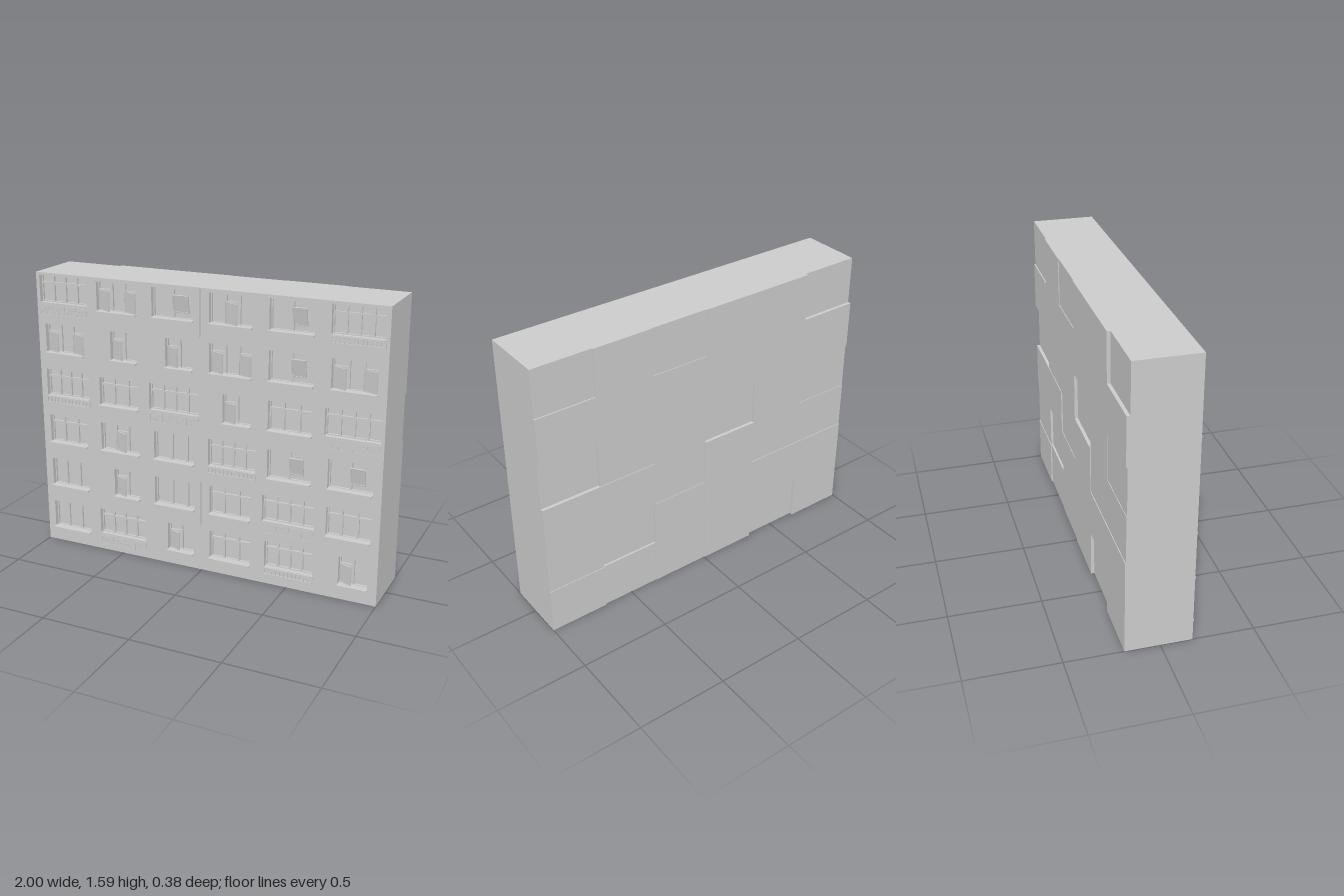
import * as THREE from 'three';

const mat = new THREE.MeshStandardMaterial({ color: 0xcccccc, flatShading: true });
const CW = 2 / 6, CH = 1.59 / 6, FRONT = 0.17, GLASS = 0.133;

// Cell layout, top storey first
const LAYOUT = ['HAVCSB', 'ANNASA', 'BTHNTH', 'TCLBSS', 'PNLTHT', 'PHNTBN'];

// Opening in the cell [x0, y0, x1, y1] and depth of the back face
const WIDE = [0.045, 0.083, 0.287, 0.245];
const NARROW = [0.122, 0.083, 0.283, 0.245];
const opening = { N: NARROW, B: [0.037, 0.098, 0.312, 0.25], H: [0.02, 0.1, 0.315, 0.25] };
const backZ = { H: -0.169, B: -0.18, C: -0.183, T: -0.183 };

// Panes as fractions of the opening: [x0, y0, x1, y1, motion]
const thirds = [[0, 0, 0.32, 1], [0.32, 0, 0.68, 1], [0.68, 0, 1, 1]];
const balcony = [0, 1, 2, 3].flatMap(i => [
  [i / 4, 0, (i + 1) / 4, 0.7], [i / 4, 0.7, (i + 1) / 4, 1]]);
const panes = {
  A: [[0, 0, 0.34, 0.7, 'swing'], [0, 0.7, 0.34, 1], [0.34, 0, 0.66, 1], [0.66, 0, 1, 0.7, 'swing'], [0.66, 0.7, 1, 1]],
  V: [[0, 0, 0.48, 1], [0.48, 0.2, 0.86, 0.8, 'tilt'], [0.48, 0, 1, 1]],
  C: [[0, 0, 0.34, 1], [0.34, 0, 0.66, 0.7, 'swing'], [0.34, 0.7, 0.66, 1], [0.66, 0, 1, 1]],
  S: [[0, 0, 0.48, 1], [0.48, 0.2, 0.8, 0.8, 'tilt'], [0.48, 0, 1, 1]],
  L: [[0, 0, 0.4, 1], [0.4, 0, 0.78, 1], [0.78, 0, 1, 1]],
  P: thirds,
  T: thirds.flatMap(p => [[p[0], 0, p[2], 0.72], [p[0], 0.72, p[2], 1]]),
  N: [[0, 0, 0.46, 0.68, 'swing'], [0, 0.68, 0.46, 1], [0.46, 0, 1, 1]],
  B: balcony,
  H: balcony
};

function add(group, name, geo, x = 0, y = 0, z = 0) {
  const m = new THREE.Mesh(geo, mat);
  m.name = name;
  m.position.set(x, y, z);
  group.add(m);
  return m;
}

function block(group, name, x0, y0, z0, x1, y1, z1) {
  return add(group, name, new THREE.BoxGeometry(x1 - x0, y1 - y0, z1 - z0),
    (x0 + x1) / 2, (y0 + y1) / 2, (z0 + z1) / 2);
}

function rect(Type, x0, y0, x1, y1) {
  const p = new Type();
  p.moveTo(x0, y0);
  p.lineTo(x1, y0);
  p.lineTo(x1, y1);
  p.lineTo(x0, y1);
  p.closePath();
  return p;
}

// Rectangle with rectangular holes, pushed out along z
function cutPlate(w, h, holes, depth) {
  const s = rect(THREE.Shape, 0, 0, w, h);
  holes.forEach(r => s.holes.push(rect(THREE.Path, ...r)));
  return new THREE.ExtrudeGeometry(s, { depth, bevelEnabled: false });
}

function buildPane(group, o, [fx0, fy0, fx1, fy1, motion]) {
  const w = o[2] - o[0], h = o[3] - o[1];
  const pw = (fx1 - fx0) * w, ph = (fy1 - fy0) * h, b = 0.006;
  const x = o[0] + fx0 * w, y = o[1] + fy0 * h;
  const hole = [b, b, pw - b, ph - b];
  if (!motion) {
    add(group, 'paneFrame', cutPlate(pw, ph, [hole], 0.012), x, y, GLASS);
    return;
  }
  // Opened sash with its glass, hinged at the side or the bottom
  const sash = new THREE.Group();
  sash.name = 'openSash';
  sash.position.set(x, y, GLASS + 0.002);
  if (motion === 'swing') sash.rotation.y = -0.35;
  else sash.rotation.x = 0.18;
  add(sash, 'sashFrame', cutPlate(pw, ph, [hole], 0.008));
  block(sash, 'sashGlass', b, b, 0.002, pw - b, ph - b, 0.005);
  group.add(sash);
}

// Glazed balcony parapet: framed panels with diagonal slats, nearly flush
function buildParapet(group, o) {
  const step = (o[2] - o[0]) / 4, y0 = 0.03, y1 = 0.09;
  for (let i = 0; i < 4; i++) {
    const x = o[0] + i * step;
    add(group, 'parapetFrame', cutPlate(step, y1 - y0, [[0.005, 0.005, step - 0.005, y1 - y0 - 0.005]], 0.002), x, y0, FRONT);
    for (let k = 0; k < 3; k++) {
      const slat = add(group, 'parapetSlat', new THREE.BoxGeometry(0.004, 0.045, 0.0015),
        x + step * (0.3 + k * 0.2), (y0 + y1) / 2, FRONT + 0.0007);
      slat.rotation.z = -0.6;
    }
  }
}

// Low grille under a balcony window
function buildGrille(group, o) {
  const n = 12, step = (o[2] - o[0]) / n;
  block(group, 'grilleRail', o[0], 0.088, FRONT, o[2], 0.096, 0.178);
  block(group, 'grilleRail', o[0], 0.055, FRONT, o[2], 0.061, 0.178);
  for (let i = 0; i <= n; i++) {
    const x = o[0] + i * step;
    block(group, 'grilleBar', x - 0.003, 0.06, FRONT, x + 0.003, 0.09, 0.176);
  }
}

function buildCell(type, row, col) {
  const g = new THREE.Group();
  g.name = 'wallPanel';
  g.position.set(-1 + col * CW, (5 - row) * CH, 0);
  const o = opening[type] || WIDE;
  const holes = [o];
  // Narrow vertical joint between two panels
  if (col === 2 && (row === 0 || row === 4)) holes.push([CW - 0.009, 0.004, CW - 0.003, CH - 0.004]);
  block(g, 'panelCore', 0, 0, backZ[type] || -0.187, CW, CH, GLASS);
  add(g, 'panelFace', cutPlate(CW, CH, holes, FRONT - GLASS), 0, 0, GLASS);
  panes[type].forEach(p => buildPane(g, o, p));
  if (type === 'H') buildParapet(g, o);
  else if (type === 'B') buildGrille(g, o);
  else {
    // Sloping-free sill with a projecting lip
    block(g, 'windowSill', o[0], o[1] - 0.004, GLASS, o[2], o[1] + 0.003, 0.188);
    block(g, 'sillLip', o[0], o[1] - 0.007, 0.185, o[2], o[1] + 0.003, 0.19);
  }
  return g;
}

export function createModel() {
  const model = new THREE.Group();
  model.name = 'apartmentBlock';
  LAYOUT.forEach((line, row) => [...line].forEach((type, col) => model.add(buildCell(type, row, col))));
  return model;
}
